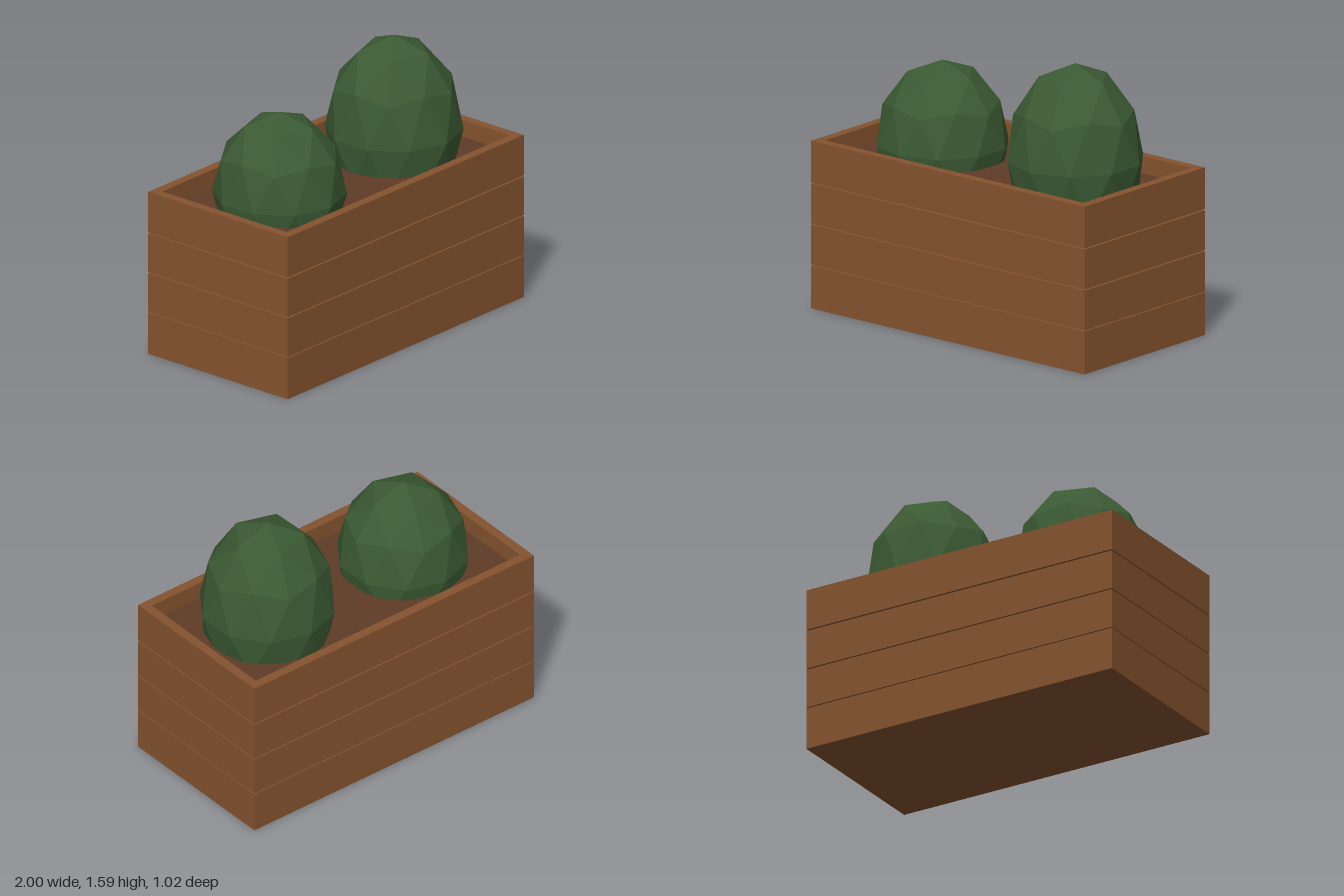
import * as THREE from 'three';

const material = (name, color) => {
  const m = new THREE.MeshStandardMaterial({ color, flatShading: true });
  m.name = name;
  return m;
};

function rectangle(Type, w, d) {
  return new Type([
    new THREE.Vector2(-w, -d), new THREE.Vector2(w, -d),
    new THREE.Vector2(w, d), new THREE.Vector2(-w, d),
  ]);
}

export function createModel() {
  const wood = material('wood', 0x85532f);
  const soil = material('soil', 0x603b28);
  const leaf = material('leaf green', 0x3b5a33);
  const model = new THREE.Group();
  model.name = 'planter';

  const add = (name, geometry, mat, x, y, z) => {
    const mesh = new THREE.Mesh(geometry, mat);
    mesh.name = name;
    mesh.position.set(x, y, z);
    model.add(mesh);
  };

  // Four courses of boards around the box, with narrow gaps between
  const courses = [[0, 0.247], [0.253, 0.484], [0.491, 0.721], [0.729, 0.97]];
  courses.forEach(([bottom, top], i) => {
    const ring = rectangle(THREE.Shape, 1, 0.512);
    ring.holes.push(rectangle(THREE.Path, 0.945, 0.457));
    const geometry = new THREE.ExtrudeGeometry(ring, { depth: top - bottom, bevelEnabled: false });
    geometry.rotateX(-Math.PI / 2);
    add('boardCourse' + (i + 1), geometry, wood, 0, bottom, 0);
  });

  // Floor and soil
  add('floor', new THREE.BoxGeometry(1.89, 0.05, 0.914), wood, 0, 0.025, 0);
  add('soil', new THREE.BoxGeometry(1.89, 0.1, 0.914), soil, 0, 0.82, 0);

  // Faceted bushes, turned so one vertex points straight up
  const bush = (name, x, y, radius, halfHeight) => {
    const geometry = new THREE.IcosahedronGeometry(1, 1);
    geometry.rotateZ(-Math.atan(2 / (1 + Math.sqrt(5))));
    geometry.scale(radius, halfHeight, radius);
    add(name, geometry, leaf, x, y, 0);
  };
  bush('rightBush', -0.478, 0.95, 0.376, 0.475);
  bush('leftBush', 0.492, 1.04, 0.387, 0.55);

  return model;
}
